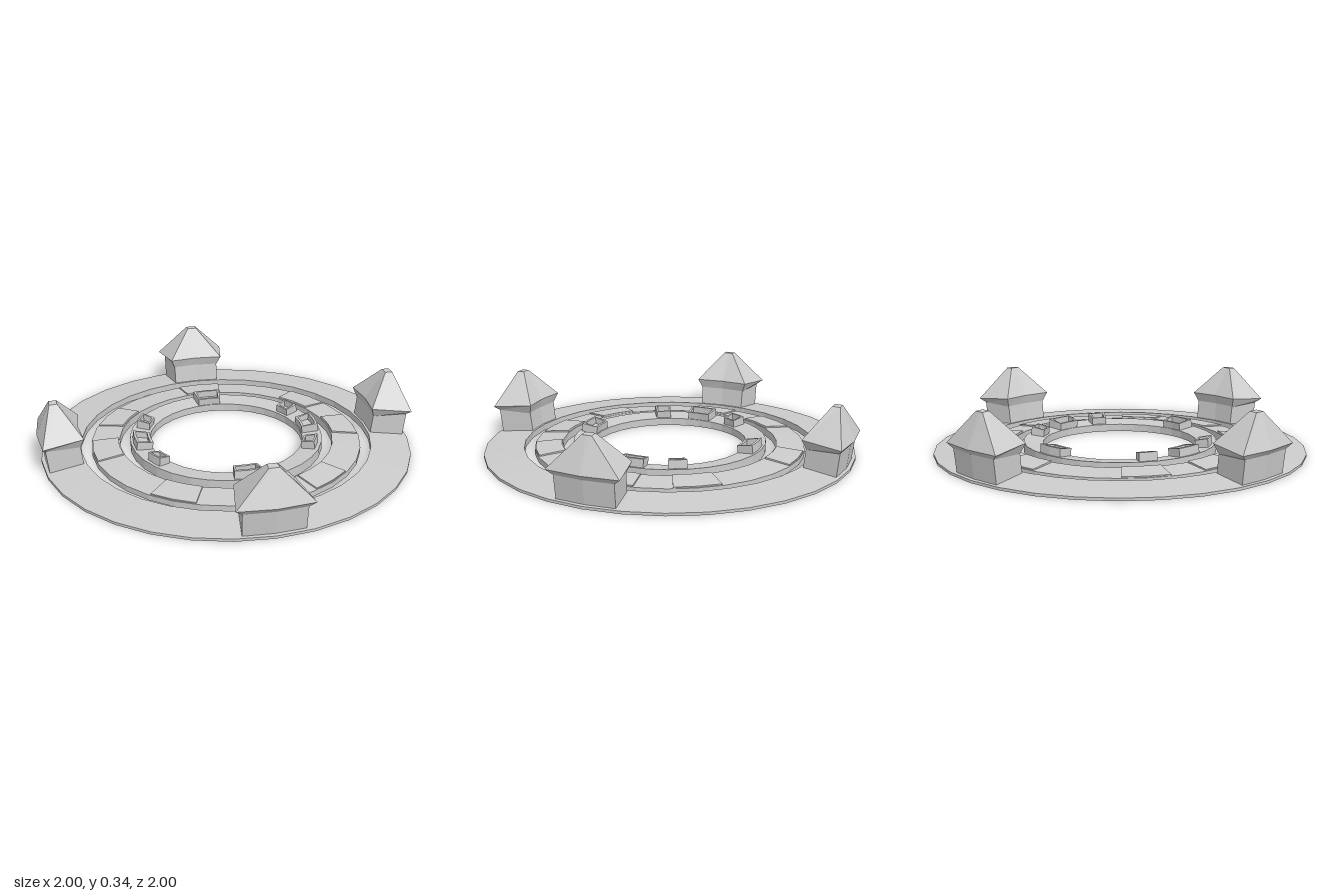
import * as THREE from 'three';

const material = new THREE.MeshStandardMaterial({ color: 0xcccccc, flatShading: true });
const rad = THREE.MathUtils.degToRad;

// Closed ring with a sloping top: yIn at the inner edge, yOut at the outer edge
function ring(name, rIn, rOut, yIn, yOut) {
  const profile = [[rOut, 0], [rOut, yOut], [rIn, yIn], [rIn, 0], [rOut, 0]];
  const geo = new THREE.LatheGeometry(profile.map(p => new THREE.Vector2(...p)), 32);
  const mesh = new THREE.Mesh(geo, material);
  mesh.name = name;
  return mesh;
}

// Loft through sector-shaped loops. Each level: [rIn, rOut, half angle in degrees, yIn, yOut]
function sectorLoft(name, levels, n = 2) {
  const count = 2 * (n + 1);
  const positions = [];
  const index = [];
  const quad = (a, b, c, d) => index.push(a, b, c, a, c, d);
  for (const [rIn, rOut, half, yIn, yOut] of levels) {
    for (let i = 0; i < count; i++) {
      const inner = i <= n;
      const t = inner ? 1 - 2 * i / n : 2 * (i - n - 1) / n - 1;
      const a = rad(half * t);
      const r = inner ? rIn : rOut;
      positions.push(r * Math.sin(a), inner ? yIn : yOut, r * Math.cos(a));
    }
  }
  // side walls between successive loops
  for (let l = 0; l < levels.length - 1; l++) {
    for (let i = 0; i < count; i++) {
      const j = (i + 1) % count;
      const low = l * count, high = low + count;
      quad(low + i, low + j, high + j, high + i);
    }
  }
  // end caps
  const last = (levels.length - 1) * count;
  for (let i = 0; i < n; i++) {
    quad(last + i, last + i + 1, last + count - 2 - i, last + count - 1 - i);
    quad(count - 1 - i, count - 2 - i, i + 1, i);
  }
  const geo = new THREE.BufferGeometry();
  geo.setAttribute('position', new THREE.Float32BufferAttribute(positions, 3));
  geo.setIndex(index);
  geo.computeVertexNormals();
  const mesh = new THREE.Mesh(geo, material);
  mesh.name = name;
  return mesh;
}

// Tower: curved body leaning slightly outwards under a hipped roof
function tower() {
  const g = new THREE.Group();
  g.name = 'tower';
  g.add(sectorLoft('towerBody', [
    [0.785, 0.965, 9.2, 0.01, 0.01],
    [0.80, 0.98, 9.2, 0.14, 0.14],
  ]));
  g.add(sectorLoft('towerRoof', [
    [0.80, 0.98, 9.2, 0.13, 0.138],
    [0.785, 1.0, 11, 0.182, 0.163],
    [0.885, 0.925, 1.6, 0.335, 0.333],
  ]));
  return g;
}

// Low raised slab on the middle ring
const panel = () => sectorLoft('panel', [
  [0.572, 0.712, 9.6, 0.02, 0.01],
  [0.577, 0.715, 9.6, 0.05, 0.037],
]);

// Open-topped planter with a sunken floor, tilted towards the centre
function planter(rIn, rOut, half, wall) {
  const inset = [rIn + wall, rOut - wall, half - 1.4];
  return sectorLoft('planter', [
    [rIn + 0.005, rOut + 0.005, half, 0.03, 0.04],
    [rIn, rOut, half, 0.08, 0.094],
    [...inset, 0.08, 0.094],
    [...inset, 0.05, 0.058],
  ]);
}

export function createModel() {
  const model = new THREE.Group();
  model.name = 'ringSettlement';

  model.add(ring('outerRing', 0.775, 0.985, 0.035, 0.014));
  model.add(ring('middleRing', 0.57, 0.72, 0.042, 0.03));
  model.add(ring('innerRing', 0.41, 0.515, 0.04, 0.052));

  // angles are measured from the front, positive towards +x
  const place = (make, angles) => {
    for (const angle of angles) {
      const part = make();
      part.rotation.y = rad(angle);
      model.add(part);
    }
  };
  const quarters = [0, 90, 180, 270];
  place(tower, quarters);
  place(panel, [...quarters, 34.5, -34.5, 124.5, -124.5]);
  place(() => planter(0.41, 0.497, 8.6, 0.013), quarters);
  place(() => planter(0.42, 0.49, 5.5, 0.01), [61.7, -61.7, 118.3, -118.3]);

  return model;
}
